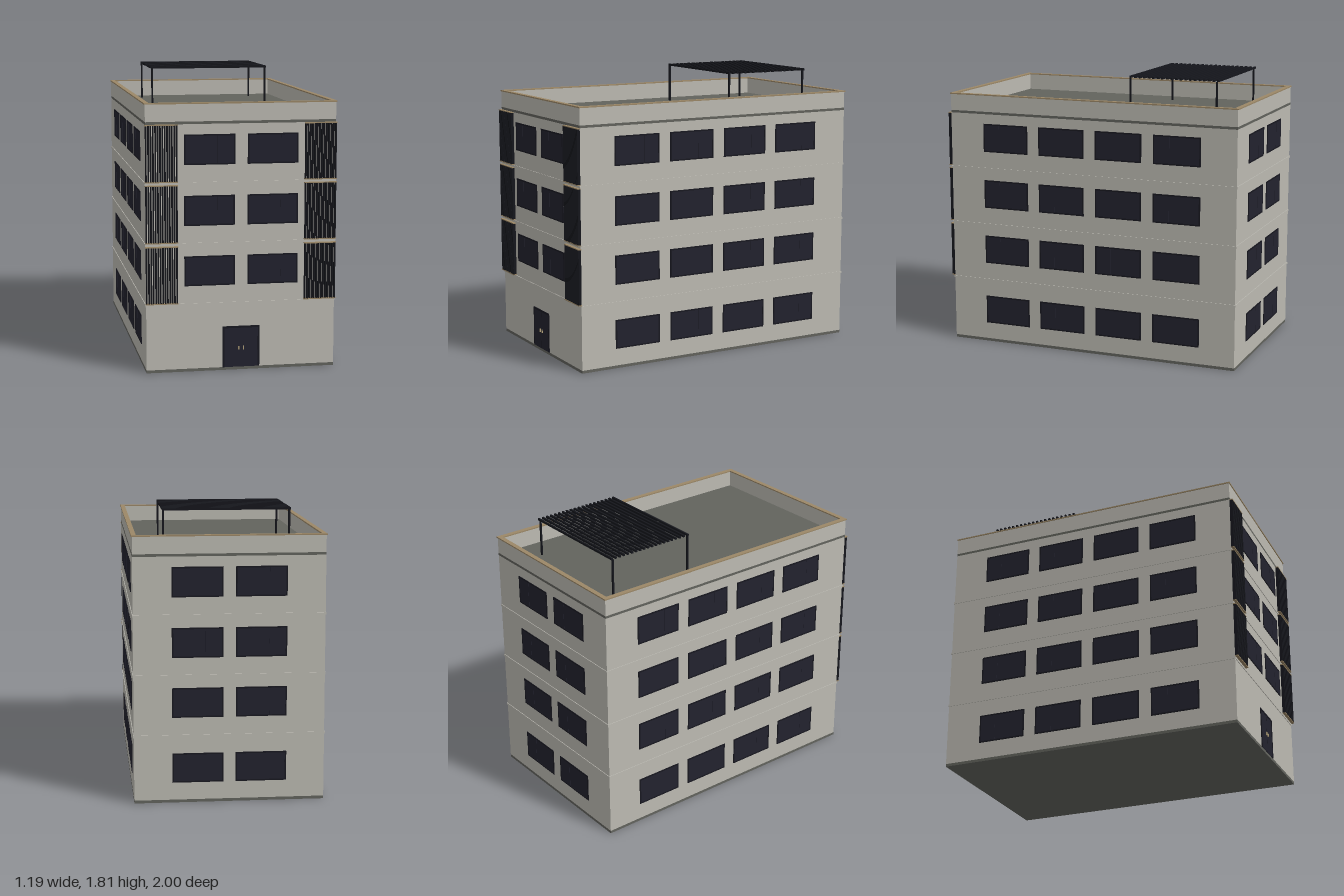
import * as THREE from 'three';

const mat = (name, color) => {
  const m = new THREE.MeshStandardMaterial({ color });
  m.name = name;
  return m;
};

export function createModel() {
  const wall = mat('wall plaster', 0xbcbab2);
  const slab = mat('slab grey', 0x62635d);
  const tan = mat('tan trim', 0x9c8867);
  const frame = mat('dark frame', 0x181820);
  const glass = mat('tinted glass', 0x22222e);
  const metal = mat('black metal', 0x15161c);
  const brass = mat('handle brass', 0xb3a27c);

  const model = new THREE.Group();
  model.name = 'apartmentBlock';
  const HX = 0.592, HZ = 0.987, CZ = -0.008; // half width, half depth, centre in z
  const FRONT = CZ + HZ;

  const group = (name, parent = model) => {
    const g = new THREE.Group();
    g.name = name;
    parent.add(g);
    return g;
  };
  // Box given by its limits on each axis
  const box = (parent, name, m, x0, x1, y0, y1, z0, z1) => {
    const mesh = new THREE.Mesh(new THREE.BoxGeometry(x1 - x0, y1 - y0, z1 - z0), m);
    mesh.position.set((x0 + x1) / 2, (y0 + y1) / 2, (z0 + z1) / 2);
    mesh.name = name;
    parent.add(mesh);
    return mesh;
  };
  // Rectangular ring around the building, out = overhang, t = thickness
  const ring = (name, m, y0, y1, out, t) => {
    const g = group(name);
    const x = HX + out, zb = CZ - HZ - out, zf = FRONT + out;
    box(g, name + 'Front', m, -x, x, y0, y1, zf - t, zf);
    box(g, name + 'Back', m, -x, x, y0, y1, zb, zb + t);
    for (const s of [-1, 1]) {
      const a = s * x, b = s * (x - t);
      box(g, name + 'Side', m, Math.min(a, b), Math.max(a, b), y0, y1, zb + t, zf - t);
    }
  };

  // Main volume, slabs and parapet
  box(model, 'baseSlab', slab, -HX, HX, 0, 0.018, CZ - HZ, FRONT);
  box(model, 'walls', wall, -HX, HX, 0.018, 1.54, CZ - HZ, FRONT);
  box(model, 'roofSlab', slab, -HX, HX, 1.54, 1.556, CZ - HZ, FRONT);
  ring('parapet', wall, 1.556, 1.662, 0, 0.02);
  ring('coping', tan, 1.662, 1.67, 0.005, 0.03);
  for (const y of [0.425, 0.803, 1.178]) ring('floorBand', wall, y - 0.007, y + 0.007, 0.004, 0.01);

  // Sliding window facing +z, its back on z = 0
  const W = 0.316, H = 0.186;
  const addWindow = (parent, x, y) => {
    const g = group('window', parent);
    g.position.set(x, y, 0);
    const f = 0.009, w = W / 2, h = H / 2;
    for (const s of [-1, 1]) {
      box(g, 'frameRail', frame, -w, w, s * (h - f / 2) - f / 2, s * (h - f / 2) + f / 2, 0, 0.004);
      box(g, 'frameStile', frame, s * (w - f / 2) - f / 2, s * (w - f / 2) + f / 2, f - h, h - f, 0, 0.004);
    }
    const p = (W - 2 * f) / 3;
    for (let i = 0; i < 3; i++) {
      const x0 = -w + f + i * p;
      box(g, 'pane', glass, x0, x0 + p, f - h, h - f, 0, i === 1 ? 0.0015 : 0.003);
    }
  };

  // Window rows on each facade
  const rows = [0.221, 0.634, 1.009, 1.384];
  const facade = (name, x, z, turn, columns, levels) => {
    const g = group(name);
    g.position.set(x, 0, z);
    g.rotation.y = turn;
    for (const y of levels) for (const c of columns) addWindow(g, c, y);
  };
  const two = [-0.197, 0.197], four = [-0.593, -0.198, 0.198, 0.593];
  facade('frontWindows', 0, FRONT, 0, two, rows.slice(1));
  facade('backWindows', 0, CZ - HZ, Math.PI, two, rows);
  facade('leftWindows', HX, CZ, Math.PI / 2, four, rows);
  facade('rightWindows', -HX, CZ, -Math.PI / 2, four, rows);

  // Double entrance door
  const door = group('entranceDoor');
  box(door, 'doorFrameTop', frame, -0.116, 0.116, 0.266, 0.278, FRONT, FRONT + 0.005);
  for (const s of [-1, 1]) {
    box(door, 'doorFrameSide', frame, s * 0.111 - 0.005, s * 0.111 + 0.005, 0.018, 0.266, FRONT, FRONT + 0.005);
    box(door, 'doorLeaf', glass, s * 0.0535 - 0.0525, s * 0.0535 + 0.0525, 0.018, 0.266, FRONT, FRONT + 0.003);
    box(door, 'doorHandle', brass, s * 0.015 - 0.003, s * 0.015 + 0.003, 0.128, 0.15, FRONT + 0.003, FRONT + 0.01);
  }
  box(door, 'doorSeam', frame, -0.001, 0.001, 0.018, 0.266, FRONT, FRONT + 0.0035);

  // Slatted sun screens on the front corners, three storeys
  const slats = 14, x0 = 0.397, x1 = 0.593;
  for (const s of [-1, 1]) {
    for (const [b, t] of [[0.434, 0.793], [0.812, 1.171], [1.187, 1.54]]) {
      const g = group('sunScreen');
      const cx = s * (x0 + x1) / 2, hw = (x1 - x0) / 2 + 0.003;
      for (const y of [b, t - 0.006]) box(g, 'screenRail', tan, cx - hw, cx + hw, y, y + 0.006, FRONT, 1);
      for (let i = 0; i < slats; i++) {
        const x = s * (x0 + 0.004 + (x1 - x0 - 0.008) * i / (slats - 1));
        box(g, 'screenSlat', metal, x - 0.004, x + 0.004, b + 0.006, t - 0.006, FRONT, 0.999);
      }
    }
  }

  // Roof pergola
  const pergola = group('pergola');
  for (const x of [-0.391, 0.391]) for (const z of [-0.791, -0.211])
    box(pergola, 'pergolaPost', metal, x - 0.006, x + 0.006, 1.556, 1.8, z - 0.005, z + 0.005);
  for (let i = 0; i < 20; i++) {
    const z = -0.8 + 0.588 * i / 19;
    box(pergola, 'pergolaSlat', metal, -0.398, 0.398, 1.8, 1.813, z - 0.006, z + 0.006);
  }
  return model;
}
